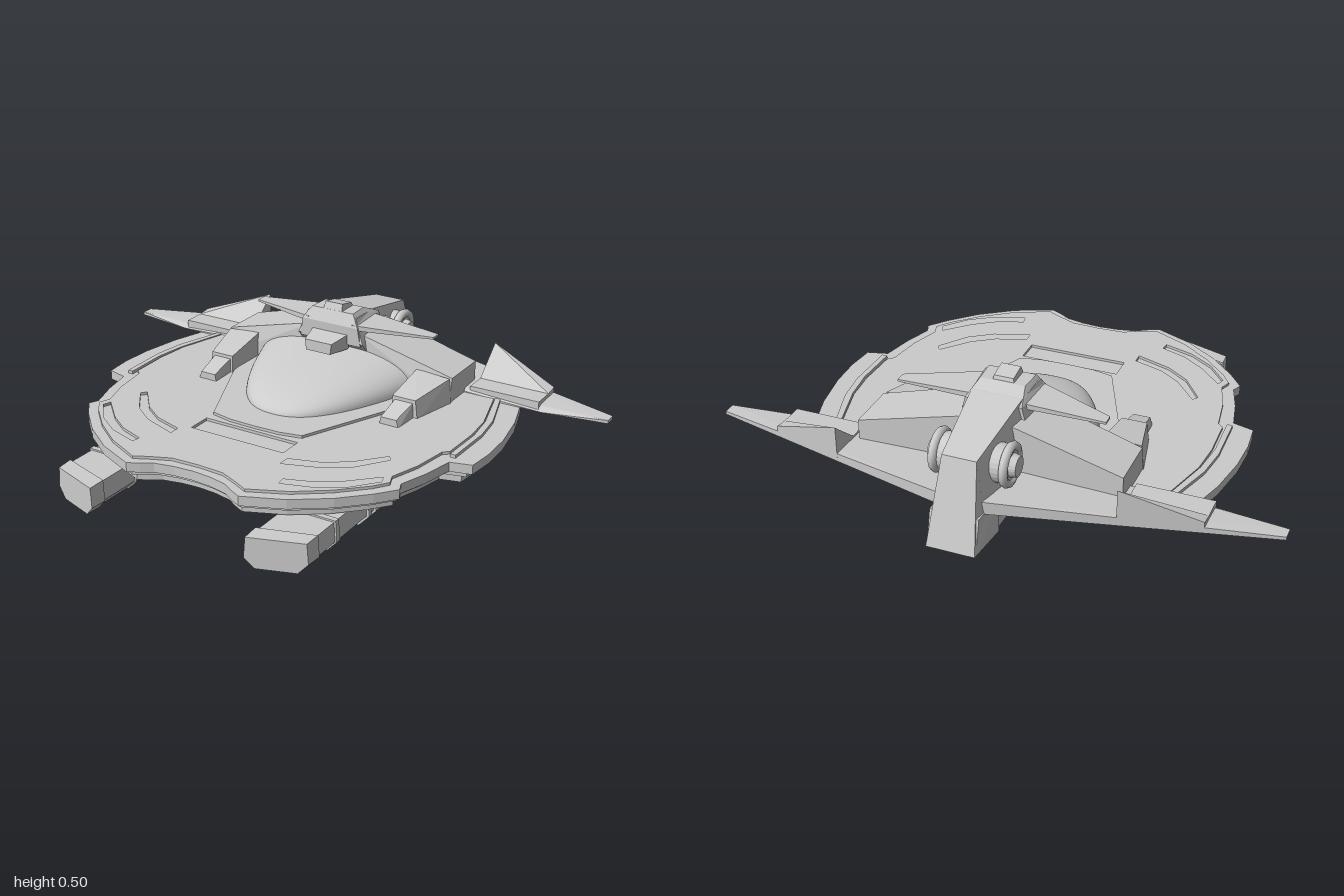
import * as THREE from 'three';
import { ConvexGeometry } from 'three/addons/geometries/ConvexGeometry.js';
import { ParametricGeometry } from 'three/addons/geometries/ParametricGeometry.js';

const grey = new THREE.MeshStandardMaterial({ color: 0xcccccc, flatShading: true });
const smooth = new THREE.MeshStandardMaterial({ color: 0xcccccc, side: THREE.DoubleSide });

// right half of the hull outline as [x, z], front to back
const HULL = [[0, 0.62], [0.07, 0.625], [0.14, 0.64], [0.18, 0.665], [0.22, 0.685], [0.36, 0.625], [0.48, 0.54],
  [0.57, 0.45], [0.625, 0.38], [0.61, 0.345], [0.645, 0.24], [0.67, 0.125], [0.745, 0.105], [0.755, 0.0],
  [0.75, -0.12], [0.725, -0.27], [0.68, -0.42], [0.5, -0.5], [0, -0.61]];
// right half of the raised deck
const DECK = [[0, 0.59], [0.1, 0.595], [0.17, 0.625], [0.22, 0.65], [0.35, 0.59], [0.46, 0.51], [0.55, 0.42],
  [0.585, 0.37], [0.57, 0.33], [0.605, 0.22], [0.625, 0.09], [0.645, 0.07], [0.65, -0.08], [0.64, -0.2], [0.58, -0.42], [0, -0.5]];

const mirror = pts => [...pts, ...pts.slice().reverse().filter(p => p[0] > 0).map(([x, z]) => [-x, z])];
const toPath = (pts, s = 1) => pts.map(([x, z]) => new THREE.Vector2(x * s, z * s));

export function createModel() {
  const root = new THREE.Group();

  const add = (name, geo, mat = grey) => {
    const m = new THREE.Mesh(geo, mat);
    m.name = name;
    root.add(m);
    return m;
  };
  // flat plate with an [x, z] outline between two heights
  const slab = (name, pts, y0, y1, s = 1, holes = []) => {
    const shape = new THREE.Shape(toPath(pts, s));
    shape.holes = holes.map(h => new THREE.Path(toPath(h)));
    const geo = new THREE.ExtrudeGeometry(shape, { depth: y1 - y0, bevelEnabled: false });
    return add(name, geo.rotateX(Math.PI / 2).translate(0, y1, 0));
  };
  // convex block from its corners
  const block = (name, pts) => add(name, new ConvexGeometry(pts.map(p => new THREE.Vector3(...p))));
  // block symmetric about x = 0
  const centred = (name, pts) => block(name, pts.flatMap(([x, y, z]) => [[x, y, z], [-x, y, z]]));
  // the same block on both sides
  const pair = (name, pts) => {
    block('left' + name, pts);
    block('right' + name, pts.map(([x, y, z]) => [-x, y, z]));
  };
  const box = (x0, x1, y0, y1, z0, z1) =>
    [x0, x1].flatMap(x => [y0, y1].flatMap(y => [z0, z1].map(z => [x, y, z])));

  // saucer layers
  const hull = mirror(HULL);
  slab('hullLower', hull, 0.125, 0.15, 0.945);
  slab('hullGroove', hull, 0.15, 0.166, 0.97);
  slab('hullRim', hull, 0.166, 0.2);
  const slots = [
    [[0.55, 0.35], [0.46, 0.44], [0.38, 0.495], [0.285, 0.53], [0.29, 0.56], [0.4, 0.525], [0.49, 0.465], [0.56, 0.38]],
    [[0.495, 0.21], [0.41, 0.31], [0.33, 0.365], [0.22, 0.4], [0.22, 0.44], [0.35, 0.395], [0.435, 0.335], [0.51, 0.23]],
  ];
  const panel = [[-0.185, 0.28], [0.185, 0.28], [0.185, 0.37], [-0.185, 0.37]];
  slab('deck', mirror(DECK), 0.2, 0.21, 1, [...slots, ...slots.map(h => h.map(([x, z]) => [-x, z])), panel]);
  // raised strips along the flanks
  const strip = [[0.655, 0.09], [0.675, 0.09], [0.68, -0.1], [0.665, -0.22], [0.61, -0.4], [0.59, -0.4], [0.645, -0.2], [0.66, -0.08]];
  for (const s of [1, -1]) slab('flankStrip', strip.map(([x, z]) => [x * s, z]), 0.2, 0.212);

  // canopy dome and its collar
  slab('domeCollar', mirror([[0, 0.265], [0.1, 0.262], [0.18, 0.245], [0.33, -0.1], [0.36, -0.3], [0, -0.3]]), 0.2, 0.22);
  add('dome', new ParametricGeometry((u, v, out) => {
    const a = Math.PI * u, t = v * v * 1.04, c = Math.cos(a);
    out.set(
      0.33 * Math.pow(t, 0.43) * Math.sign(c) * Math.pow(Math.abs(c), 0.8),
      0.215 + 0.133 * Math.sqrt(t) * Math.pow(Math.abs(Math.sin(a)), 0.8),
      0.15 - 0.45 * t);
  }, 40, 24), smooth);

  // wings, thickening toward the middle of the rear edge
  pair('Wing', [
    [0, 0.2, -0.39], [0.77, 0.2, -0.395], [0.77, 0.2, -0.41], [1, 0.2, -0.43], [1, 0.2, -0.475], [0.08, 0.205, -0.7], [0, 0.205, -0.7],
    [0, 0.235, -0.39], [0.77, 0.215, -0.41], [1, 0.212, -0.43], [1, 0.212, -0.475], [0.08, 0.25, -0.7], [0, 0.25, -0.7]]);
  pair('FinBase', box(0.49, 0.755, 0.2, 0.235, -0.4, -0.53));
  pair('Fin', [
    [0.49, 0.21, -0.485], [0.755, 0.21, -0.485], [0.49, 0.235, -0.485], [0.755, 0.235, -0.485],
    [0.49, 0.21, -0.6], [0.755, 0.21, -0.535], [0.49, 0.335, -0.6], [0.755, 0.242, -0.535]]);

  // shoulders and forward arms
  centred('shoulders', [
    [0.47, 0.2, -0.27], [0.47, 0.2, -0.48], [0.47, 0.3, -0.29], [0.47, 0.3, -0.48],
    [0.1, 0.4, -0.27], [0.1, 0.4, -0.48]]);
  pair('Arm', [
    [0.335, 0.2, -0.28], [0.475, 0.2, -0.28], [0.335, 0.31, -0.28], [0.465, 0.3, -0.28],
    [0.335, 0.2, -0.1], [0.435, 0.2, -0.1], [0.335, 0.275, -0.1], [0.425, 0.275, -0.1]]);
  pair('ArmTip', [
    [0.345, 0.205, -0.11], [0.42, 0.205, -0.11], [0.345, 0.265, -0.11], [0.415, 0.265, -0.11],
    [0.34, 0.205, 0], [0.415, 0.205, 0], [0.345, 0.235, 0], [0.405, 0.235, 0]]);

  // spine, tail and keel
  centred('spine', [
    [0.06, 0.39, -0.69], [0.085, 0.2, -0.7], [0.09, 0.455, -0.39], [0.1, 0.46, -0.25],
    [0.135, 0.37, -0.24], [0.135, 0.2, -0.4]]);
  centred('tail', [
    [0.085, 0.09, -0.78], [0.06, 0.39, -0.69], [0.055, 0.39, -0.64], [0.1, 0.2, -0.62], [0.1, 0.09, -0.62]]);
  centred('keel', [
    [0.085, 0.09, -0.77], [0.085, 0.21, -0.74], [0.1, 0.09, -0.24], [0.1, 0.21, -0.24]]);
  // engine rings on the tail
  for (const s of [1, -1]) {
    const disc = add('engineDrum', new THREE.CylinderGeometry(0.062, 0.07, 0.08, 24));
    const ring = add('engineRing', new THREE.TorusGeometry(0.062, 0.016, 8, 28), smooth);
    const cap = add('engineCap', new THREE.CylinderGeometry(0.035, 0.042, 0.03, 24));
    disc.rotation.z = cap.rotation.z = -s * Math.PI / 2;
    ring.rotation.y = Math.PI / 2;
    disc.position.set(s * 0.09, 0.322, -0.57);
    ring.position.set(s * 0.122, 0.322, -0.57);
    cap.position.set(s * 0.138, 0.322, -0.57);
  }

  // command head with canards
  centred('head', [
    [0.125, 0.36, -0.24], [0.115, 0.43, -0.235], [0.085, 0.475, -0.255], [0.08, 0.475, -0.34],
    [0.1, 0.44, -0.42], [0.12, 0.36, -0.42]]);
  centred('noseBlock', [
    [0.05, 0.345, -0.155], [0.055, 0.385, -0.155], [0.07, 0.34, -0.25], [0.075, 0.4, -0.25]]);
  centred('sensorBox', [
    [0.04, 0.46, -0.25], [0.035, 0.5, -0.265], [0.035, 0.488, -0.33], [0.04, 0.46, -0.34]]);
  pair('Canard', [
    [0.37, 0.412, -0.37], [0.37, 0.412, -0.33], [0.37, 0.42, -0.37], [0.37, 0.42, -0.33],
    [0.09, 0.42, -0.39], [0.09, 0.42, -0.235], [0.09, 0.44, -0.39], [0.09, 0.44, -0.235]]);

  // crossbar under the hull
  centred('crossbar', [
    [0.31, 0.04, -0.245], [0.31, 0.13, -0.265], [0.31, 0.068, -0.08], [0.31, 0.13, -0.08]]);

  // nacelles: chamfered section, nose swept back on the outside
  const section = (z0, slant, g = 0, lift = 0) =>
    [[0.3 - g, 0.125 + g], [0.49 + g, 0.125 + g], [0.495 + g, 0.05], [0.46, 0.012 - g + lift], [0.33, 0.012 - g + lift], [0.295 - g, 0.05]]
      .map(([x, y]) => [x, y, z0 - slant * (x - 0.3) / 0.19]);
  pair('NacelleNose', [...section(0.775, 0.065, -0.003), ...section(0.71, 0.06, 0)]);
  pair('Nacelle', [...section(0.72, 0.06, -0.006), ...section(-0.06, 0, -0.006), ...section(-0.09, 0, -0.012, 0.012)]);
  pair('NacelleClamp', [...section(0.545, 0), ...section(0.525, 0)]);
  for (let i = 0; i < 5; i++) {
    const z = 0.345 - i * 0.045;
    pair('NacelleRib', [...section(z, 0, 0.004).map(p => [p[0], Math.min(p[1], 0.095), p[2]]),
      ...section(z - 0.018, 0, 0.004).map(p => [p[0], Math.min(p[1], 0.095), p[2]])]);
  }
  pair('NacelleHatch', box(0.35, 0.44, 0.004, 0.02, 0.56, 0.68));

  return root;
}
